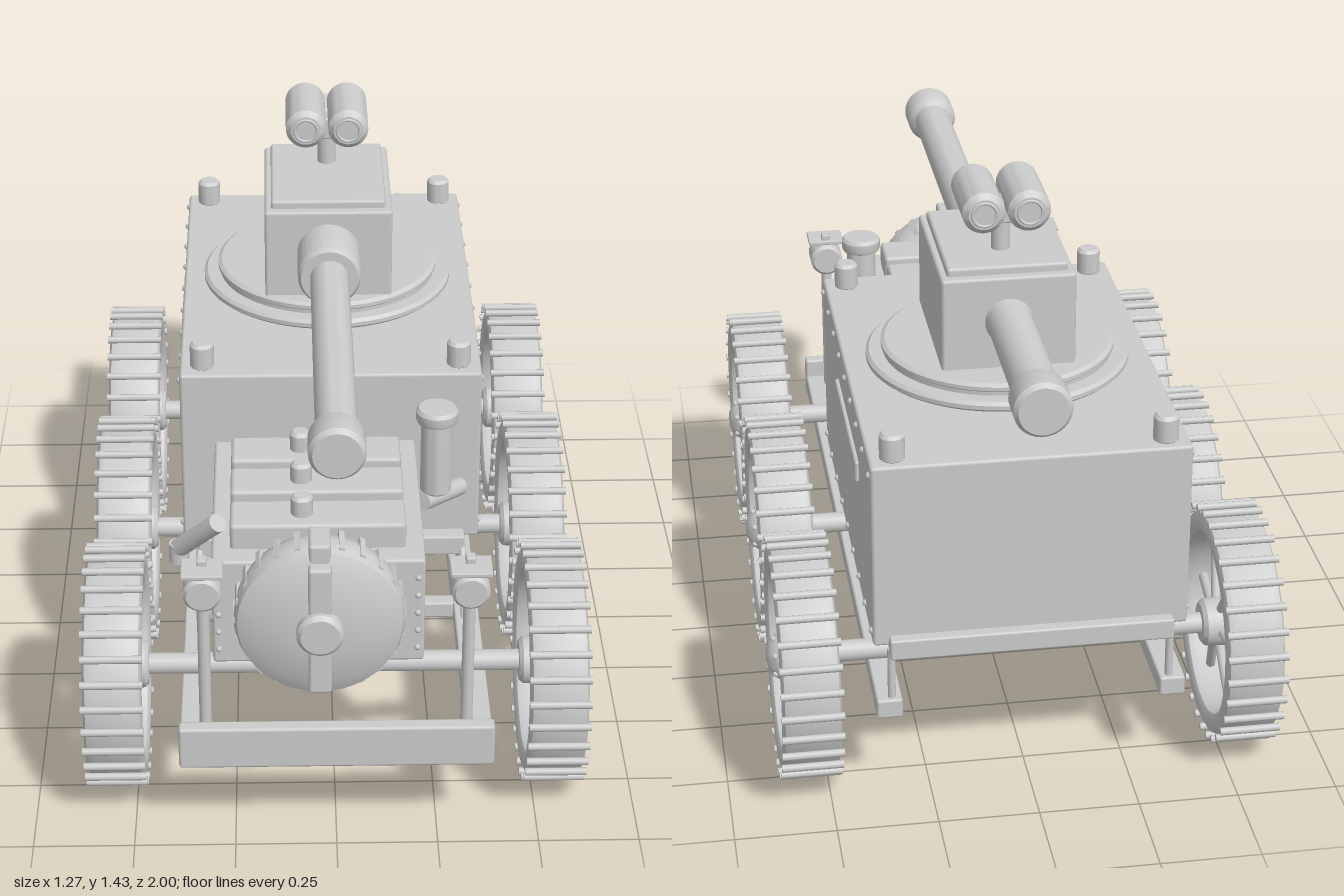
import * as THREE from 'three';
import { toCreasedNormals } from 'three/addons/utils/BufferGeometryUtils.js';
import { RoundedBoxGeometry } from 'three/addons/geometries/RoundedBoxGeometry.js';

const mat = new THREE.MeshStandardMaterial({ color: 0xcccccc });
const V = (x, y, z) => new THREE.Vector3(x, y, z);

function add(parent, name, geo, x = 0, y = 0, z = 0) {
  const m = new THREE.Mesh(geo, mat);
  m.name = name;
  m.position.set(x, y, z);
  parent.add(m);
  return m;
}
function group(parent, name, x = 0, y = 0, z = 0) {
  const g = new THREE.Group();
  g.name = name;
  g.position.set(x, y, z);
  parent.add(g);
  return g;
}
// Box given by its min and max along each axis, with softened edges
function box(parent, name, [x0, x1], [y0, y1], [z0, z1], r = 0.006) {
  return add(parent, name, new RoundedBoxGeometry(x1 - x0, y1 - y0, z1 - z0, 1, r),
    (x0 + x1) / 2, (y0 + y1) / 2, (z0 + z1) / 2);
}
// Round bar between two points
function rod(parent, name, a, b, r, sides = 16) {
  const d = b.clone().sub(a);
  const m = add(parent, name, new THREE.CylinderGeometry(r, r, d.length(), sides));
  m.position.copy(a).add(b).multiplyScalar(0.5);
  m.quaternion.setFromUnitVectors(V(0, 1, 0), d.normalize());
  return m;
}
// Turned part: profile of [radius, height], spun around y, then aimed along an axis
function turned(parent, name, profile, x, y, z, axis = 'y', seg = 32) {
  const geo = toCreasedNormals(
    new THREE.LatheGeometry(profile.map(p => new THREE.Vector2(p[0], p[1])), seg), 0.6);
  if (axis === 'z') geo.rotateX(Math.PI / 2);
  if (axis === 'x') geo.rotateZ(-Math.PI / 2);
  return add(parent, name, geo, x, y, z);
}
// Solid disc profile with bevelled edges
const disc = (r, h0, h1, b = 0.008) =>
  [[0, h0], [r - b, h0], [r, h0 + b], [r, h1 - b], [r - b, h1], [0, h1]];

function buildWheel(parent, side, z) {
  const w = group(parent, 'wheel', side * 0.547, 0.305, z);
  turned(w, 'tyre', [[0.228, -0.045], [0.234, -0.064], [0.246, -0.072], [0.27, -0.072], [0.282, -0.066], [0.288, -0.05],
    [0.288, 0.05], [0.282, 0.066], [0.27, 0.072], [0.246, 0.072], [0.234, 0.064], [0.228, 0.045],
    [0.228, -0.045]], 0, 0, 0, 'x', 48);
  const lug = new THREE.CylinderGeometry(0.01, 0.01, 0.152, 8).rotateZ(Math.PI / 2);
  for (let i = 0; i < 30; i++) {
    const a = (i + 0.5) / 30 * Math.PI * 2;
    add(w, 'treadBar', lug, 0, Math.cos(a) * 0.2965, Math.sin(a) * 0.2965);
  }
  for (let i = 0; i < 12; i++) {
    const a = i / 12 * Math.PI * 2, c = Math.cos(a), s = Math.sin(a), o = i % 2 ? 0.035 : -0.035;
    rod(w, 'spoke', V(o, c * 0.04, s * 0.04), V(o * 0.5, c * 0.235, s * 0.235), 0.0125, 10);
  }
  const hub = turned(w, 'hub', [[0, -0.08], [0.05, -0.08], [0.06, -0.07], [0.066, 0.03], [0.062, 0.055],
    [0.045, 0.077], [0.02, 0.089], [0, 0.09]], 0, 0, 0, 'x');
  if (side < 0) hub.rotation.y = Math.PI;
  for (let i = 0; i < 6; i++) {
    const a = i / 6 * Math.PI * 2;
    add(w, 'hubBolt', new THREE.SphereGeometry(0.008, 8, 6),
      side * 0.07, Math.cos(a) * 0.05, Math.sin(a) * 0.05);
  }
}

function buildChassis(root) {
  const g = group(root, 'chassis');
  for (const s of [-1, 1]) {
    const x = s * 0.345;
    box(g, 'sideRail', [s * 0.352 - 0.032, s * 0.352 + 0.032], [0.232, 0.283], [-0.88, 0.96]);
    for (const z of [0.28, -0.32])
      for (const d of [-1, 1])
        rod(g, 'brace', V(x, 0.42, z + d * 0.015), V(x, 0.27, z + d * 0.15), 0.009, 10);
    for (const z of [0.28, -0.86]) rod(g, 'framePost', V(x, 0.26, z), V(x, 0.42, z), 0.01, 10);
  }
  for (const z of [0.33, -0.33])
    box(g, 'lowerCrossMember', [-0.34, 0.34], [0.235, 0.28], [z - 0.022, z + 0.022]);
  for (const z of [0.28, -0.32, -0.865])
    box(g, 'upperCrossMember', [-0.35, 0.35], [0.4, 0.455], [z - 0.024, z + 0.024]);
  box(g, 'bumper', [-0.385, 0.385], [0.22, 0.335], [0.945, 0.985], 0.008);
  for (const z of [0.652, -0.008, -0.668]) {
    rod(g, 'axle', V(-0.5, 0.305, z), V(0.5, 0.305, z), 0.027);
    for (const s of [-1, 1]) buildWheel(g, s, z);
  }
}

function buildHull(root) {
  const g = group(root, 'hull');
  box(g, 'hullBody', [-0.388, 0.388], [0.427, 0.914], [-0.86, 0.253], 0.008);
  const rivet = new THREE.SphereGeometry(0.009, 8, 6);
  for (const s of [-1, 1]) {
    const x = s * 0.388;
    box(g, 'visionSlit', [x - 0.01, x + 0.01], [0.74, 0.797], [-0.6, -0.125]);
    for (let i = 0; i < 9; i++)
      for (const y of [0.885, 0.46]) add(g, 'rivet', rivet, x, y, 0.22 - i * 0.132);
    for (const z of [0.195, -0.81])
      turned(g, 'cornerCap', disc(0.031, 0, 0.074), s * 0.33, 0.908, z, 'y', 20);
  }
}

function buildEngine(root) {
  const g = group(root, 'engine');
  box(g, 'hood', [-0.3, 0.217], [0.43, 0.72], [0.24, 0.836], 0.008);
  for (const z of [0.715, 0.555, 0.4]) {
    box(g, 'cylinderHead', [-0.255, 0.172], [0.71, 0.785], [z - 0.062, z + 0.062], 0.01);
    turned(g, 'fillerCap', disc(0.027, 0, 0.06), -0.08, 0.775, z, 'y', 20);
  }
  const rivet = new THREE.SphereGeometry(0.008, 8, 6);
  for (const x of [-0.285, 0.2])
    for (let i = 0; i < 5; i++) add(g, 'rivet', rivet, x, 0.47 + i * 0.05, 0.836);

  // Covered drum on the nose, with ribbed rim, strap and hub
  const d = group(g, 'noseDrum', -0.04, 0.607, 0.83);
  turned(d, 'drumBody', [[0, 0], [0.18, 0], [0.197, 0.015], [0.205, 0.045], [0.207, 0.08], [0.198, 0.103],
    [0.16, 0.122], [0.08, 0.137], [0, 0.141]], 0, 0, 0, 'z', 48);
  for (let i = 0; i < 24; i++) {
    const a = i / 24 * Math.PI * 2;
    const rib = add(d, 'drumRib', new THREE.BoxGeometry(0.014, 0.016, 0.08),
      Math.sin(a) * 0.2, Math.cos(a) * 0.2, 0.05);
    rib.rotation.z = -a;
  }
  box(d, 'strap', [-0.028, 0.028], [-0.175, 0.175], [0.1, 0.148], 0.008);
  box(d, 'strapTop', [-0.026, 0.026], [0.17, 0.222], [0.02, 0.115], 0.008);
  turned(d, 'drumHub', disc(0.057, 0.1, 0.168, 0.01), 0, 0, 0, 'z');

  // Tall exhaust stack beside the hood, and its outlet running back to the hull
  turned(g, 'exhaustStack', [[0, 0.7], [0.035, 0.7], [0.04, 0.705], [0.04, 0.895], [0.05, 0.9], [0.053, 0.908],
    [0.053, 0.928], [0.046, 0.937], [0, 0.937]], 0.26, 0, 0.47, 'y', 24);
  rod(g, 'exhaustOutlet', V(0.23, 0.625, 0.405), V(0.335, 0.583, 0.258), 0.024);
  // Intake pipe on the other side
  rod(g, 'intakePipe', V(-0.285, 0.76, 0.72), V(-0.385, 0.64, 0.64), 0.024);
  rod(g, 'intakeElbow', V(-0.385, 0.655, 0.64), V(-0.385, 0.605, 0.64), 0.024);

  for (const s of [-1, 1]) {
    const l = group(g, 'headlamp', s * 0.32, 0, 0.91);
    turned(l, 'lamp', disc(0.046, -0.045, 0.04), 0, 0.695, 0, 'z', 24);
    box(l, 'lampShade', [-0.05, 0.05], [0.743, 0.755], [-0.04, 0.045], 0.003);
    box(l, 'shadeBracket', [-0.012, 0.012], [0.72, 0.77], [-0.03, 0], 0.004);
    rod(l, 'lampPost', V(0, 0.27, -0.015), V(0, 0.68, -0.015), 0.015, 12);
  }
}

function buildTurret(root) {
  const g = group(root, 'turret');
  turned(g, 'turretRing', [[0, 0.9], [0.3, 0.9], [0.3, 0.924], [0.325, 0.924], [0.333, 0.931], [0.333, 0.942], [0.325, 0.95],
    [0.29, 0.95], [0.29, 0.96], [0.295, 0.964], [0.295, 0.974], [0.285, 0.981], [0, 0.981]], 0, 0, -0.308, 'y', 64);
  box(g, 'turretBody', [-0.167, 0.167], [0.97, 1.22], [-0.5, -0.07], 0.008);
  box(g, 'roofPlate', [-0.15, 0.15], [1.21, 1.241], [-0.476, -0.095], 0.008);

  // Long front gun and short rear gun
  turned(g, 'frontGun', [[0, -0.1], [0.082, -0.1], [0.082, 0.07], [0.074, 0.082], [0.05, 0.082], [0.05, 0.89], [0.062, 0.9],
    [0.068, 0.912], [0.068, 0.985], [0.058, 0.998], [0, 0.998]], 0, 1.104, 0, 'z');
  turned(g, 'rearGun', [[0, -1], [0.06, -1], [0.07, -0.988], [0.07, -0.915], [0.063, -0.9], [0.056, -0.89], [0.056, -0.52],
    [0.062, -0.49], [0, -0.49]], 0, 1.104, 0, 'z');

  // Twin sight on a post
  const b = group(g, 'sight', 0, 1.374, -0.357);
  rod(b, 'sightPost', V(0, -0.14, 0), V(0, -0.02, 0), 0.024);
  box(b, 'sightBridge', [-0.04, 0.04], [-0.06, 0], [-0.03, 0.03]);
  for (const s of [-1, 1]) {
    turned(b, 'sightTube', disc(0.053, -0.11, 0.11, 0.014), s * 0.056, 0, 0, 'z');
    for (const e of [-1, 1])
      add(b, 'lensRim', new THREE.TorusGeometry(0.03, 0.004, 8, 24), s * 0.056, 0, e * 0.11);
  }
}

export function createModel() {
  const root = new THREE.Group();
  root.name = 'armouredCar';
  buildChassis(root);
  buildHull(root);
  buildEngine(root);
  buildTurret(root);
  return root;
}
